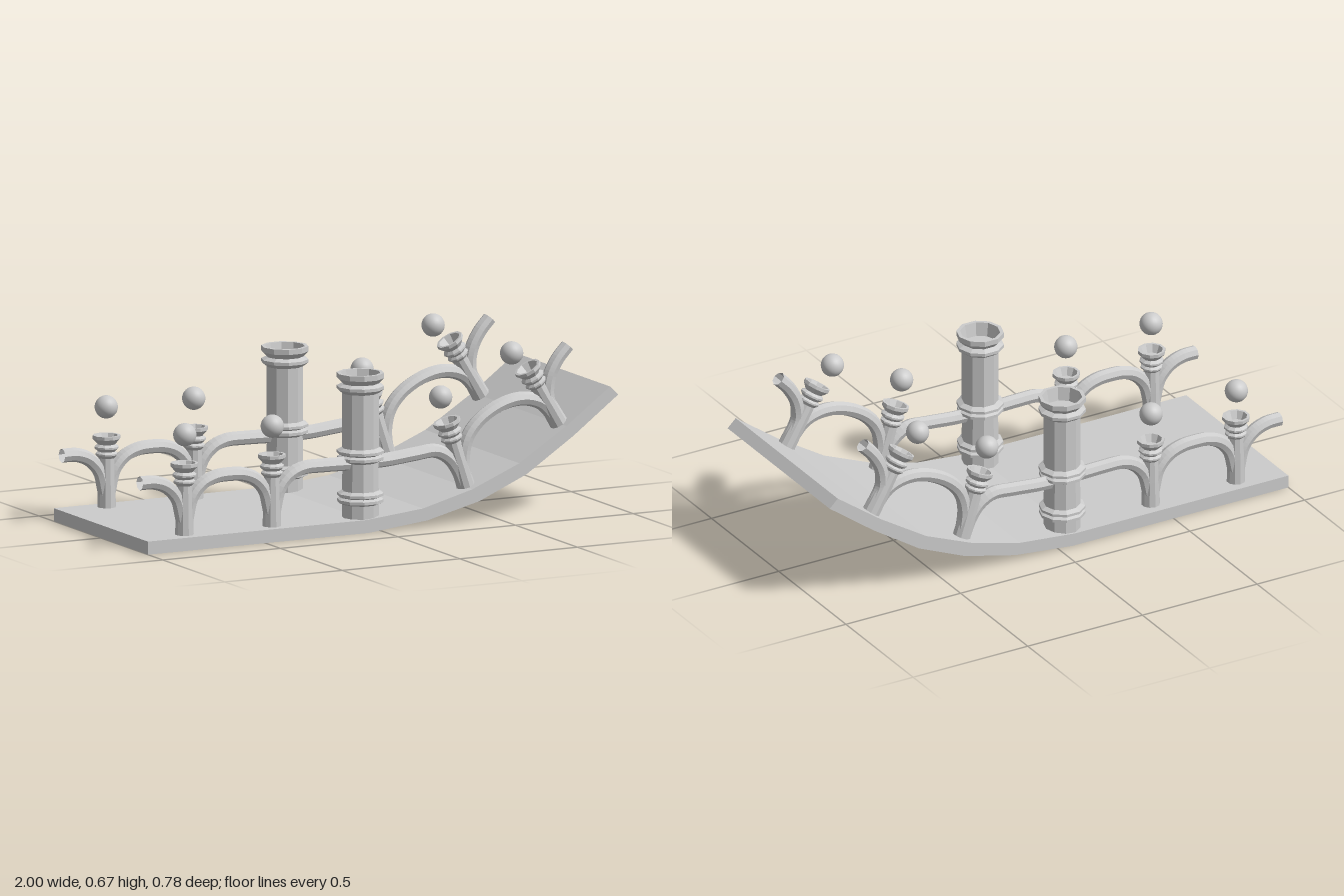
import * as THREE from 'three';

const flat = new THREE.MeshStandardMaterial({ color: 0xcccccc, flatShading: true, side: THREE.DoubleSide });
const smooth = new THREE.MeshStandardMaterial({ color: 0xcccccc });

function add(parent, name, geometry, material = flat) {
  const mesh = new THREE.Mesh(geometry, material);
  mesh.name = name;
  parent.add(mesh);
  return mesh;
}

function lathe(profile, sides) {
  return new THREE.LatheGeometry(profile.map(([r, y]) => new THREE.Vector2(r, y)), sides);
}

// Eight-sided open rail following points in the x-y plane
function rail(points, segments) {
  const curve = new THREE.CatmullRomCurve3(points.map(([x, y]) => new THREE.Vector3(x, y, 0)));
  return new THREE.TubeGeometry(curve, segments, 0.027, 8, false);
}

// Walkway: flat on one side, bending upwards on the other
function deckGeometry() {
  const shape = new THREE.Shape([
    [-1, 0], [-0.06, 0], [0.19, 0.026], [0.41, 0.08], [0.61, 0.165], [0.81, 0.295], [1, 0.436],
    [0.965, 0.47], [0.78, 0.335], [0.58, 0.21], [0.38, 0.128], [0.17, 0.073], [-0.07, 0.05], [-1, 0.05],
  ].map(([x, y]) => new THREE.Vector2(x, y)));
  return new THREE.ExtrudeGeometry(shape, { depth: 0.76, bevelEnabled: false }).translate(0, 0, -0.38);
}

// Stem with two collars and a hollow cup on top
const POST = [
  [0.036, -0.012], [0.033, 0.1], [0.03, 0.188], [0.042, 0.2], [0.042, 0.206], [0.032, 0.213],
  [0.046, 0.225], [0.046, 0.232], [0.034, 0.241], [0.053, 0.262], [0.053, 0.275],
  [0.043, 0.275], [0.03, 0.245], [0, 0.245],
];

// Large column: paired rings at the foot and the rail, flared hollow rim
const COLUMN = [
  [0.07, 0.04], [0.07, 0.1],
  [0.088, 0.108], [0.088, 0.119], [0.074, 0.126], [0.088, 0.132], [0.088, 0.142], [0.07, 0.152],
  [0.068, 0.26], [0.088, 0.27], [0.088, 0.281], [0.074, 0.288], [0.09, 0.295], [0.09, 0.305], [0.07, 0.316],
  [0.07, 0.525], [0.09, 0.54], [0.09, 0.552], [0.07, 0.562], [0.09, 0.582], [0.09, 0.602],
  [0.076, 0.602], [0.066, 0.55], [0, 0.55],
];

// Foot position, lean and floating ball position of each post
const POSTS = [
  { foot: [-0.81, 0.05], lean: 0, ball: [-0.81, 0.432] },
  { foot: [-0.438, 0.05], lean: 0, ball: [-0.438, 0.432] },
  { foot: [0.388, 0.125], lean: 0.31, ball: [0.278, 0.48] },
  { foot: [0.788, 0.325], lean: 0.54, ball: [0.58, 0.622] },
];

// Arched rails springing out of the stems
const RAILS = [
  [[-1, 0.262], [-0.94, 0.26], [-0.885, 0.238], [-0.842, 0.19], [-0.818, 0.1]],
  [[-0.802, 0.1], [-0.778, 0.19], [-0.735, 0.238], [-0.68, 0.26], [-0.624, 0.264],
    [-0.568, 0.26], [-0.513, 0.238], [-0.47, 0.19], [-0.446, 0.1]],
  [[-0.43, 0.1], [-0.406, 0.19], [-0.363, 0.238], [-0.308, 0.26], [-0.22, 0.262], [-0.057, 0.258],
    [0.05, 0.26], [0.17, 0.271], [0.255, 0.276], [0.31, 0.248], [0.348, 0.2], [0.374, 0.14]],
  [[0.385, 0.15], [0.375, 0.24], [0.393, 0.315], [0.438, 0.372], [0.515, 0.42], [0.595, 0.442],
    [0.66, 0.438], [0.712, 0.415], [0.765, 0.355]],
  [[0.768, 0.37], [0.735, 0.44], [0.741, 0.515], [0.775, 0.58], [0.818, 0.628]],
];

// One complete railing, in its own x-y plane
function createRailing(side) {
  const railing = new THREE.Group();
  railing.name = side > 0 ? 'frontRailing' : 'backRailing';

  RAILS.forEach((points) => add(railing, 'archedRail', rail(points, points.length * 4)));

  POSTS.forEach(({ foot, lean, ball }) => {
    const post = add(railing, 'post', lathe(POST, 10));
    post.position.set(foot[0], foot[1], 0);
    post.rotation.z = lean;
    add(railing, 'ball', new THREE.SphereGeometry(0.044, 24, 16), smooth)
      .position.set(ball[0], ball[1], side * 0.003);
  });

  const column = add(railing, 'column', lathe(COLUMN, 10).rotateY(Math.PI / 2));
  column.position.set(-0.057, 0, side * -0.009);

  railing.position.z = side * 0.314;
  return railing;
}

export function createModel() {
  const model = new THREE.Group();
  model.name = 'curvedWalkway';
  add(model, 'deck', deckGeometry());
  [1, -1].forEach((side) => model.add(createRailing(side)));
  return model;
}
